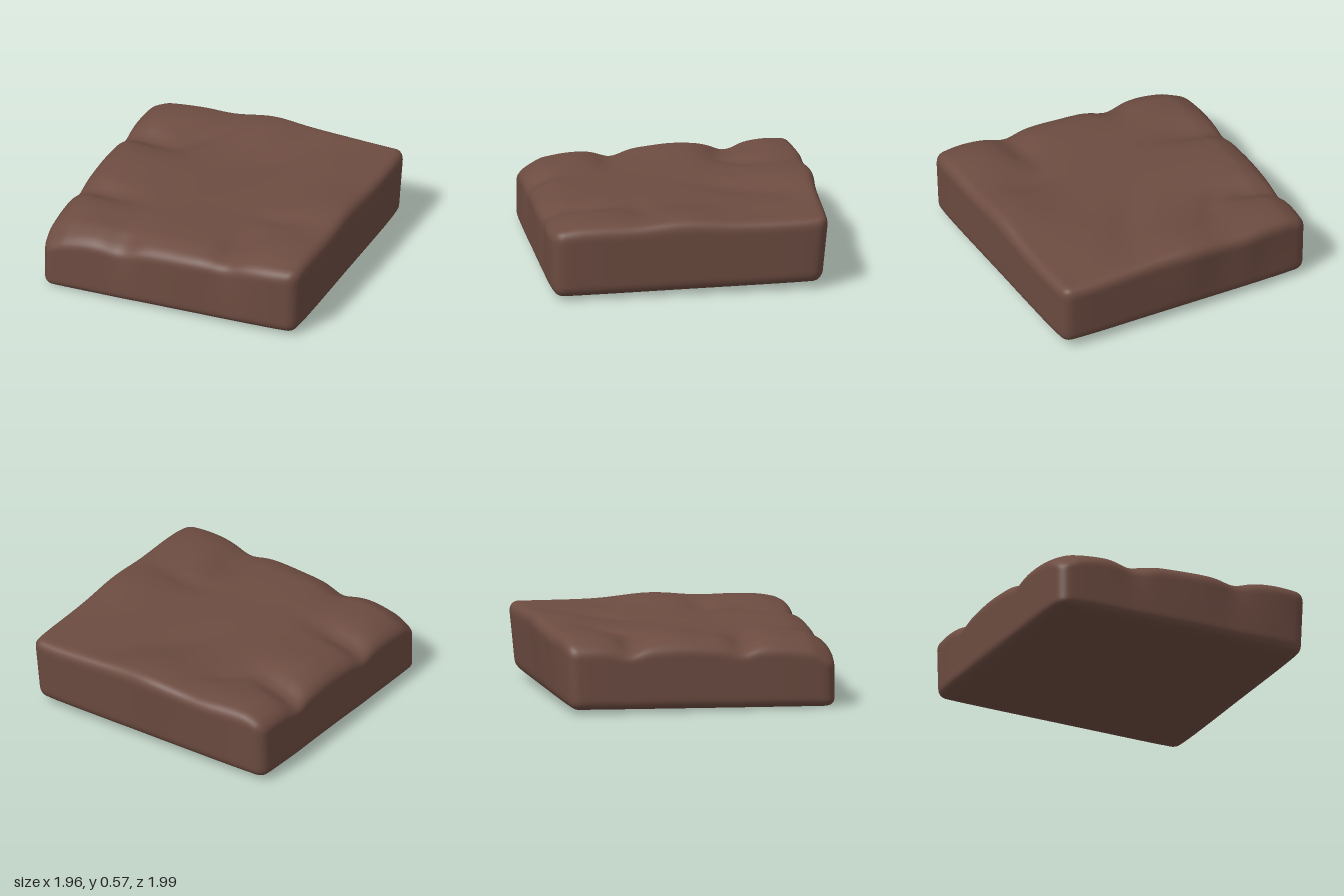
import * as THREE from 'three';
import { mergeVertices } from 'three/addons/utils/BufferGeometryUtils.js';

// Rounded mounds and worn hollows on the top: [x, z, radius x, radius z, height, turn]
const RELIEF = [
  [-0.65, -0.80, 0.28, 0.20, 0.038, 0],
  [-0.80, -0.47, 0.28, 0.10, -0.055, -0.32],
  [-0.42, -0.53, 0.18, 0.08, -0.025, 0.9],
  [-0.75, -0.12, 0.35, 0.24, 0.03, 0],
  [-0.80, 0.33, 0.30, 0.10, -0.05, -0.2],
  [-0.72, 0.62, 0.22, 0.16, 0.012, 0],
  [-0.95, 0.95, 0.20, 0.25, -0.045, 0],
  [-0.38, 0.95, 0.13, 0.20, -0.035, 0],
  [0.02, 0.66, 0.28, 0.22, 0.012, 0],
  [0.41, 0.76, 0.11, 0.26, -0.04, 0],
  [0.73, 0.66, 0.25, 0.28, 0.04, 0],
  [0.56, 0.31, 0.20, 0.09, -0.02, 0],
  [0.82, 0.05, 0.28, 0.30, 0.045, 0],
  [-0.02, -0.82, 0.30, 0.30, 0.055, 0],
  [0.16, -0.42, 0.36, 0.13, -0.025, 1.0],
  [0.38, -0.95, 0.28, 0.16, 0.018, 0],
  [0.55, -0.55, 0.25, 0.35, 0.012, 0],
];

const bump = (v, centre, width) => Math.exp(-(((v - centre) / width) ** 2));

function topHeight(x, z) {
  let h = 0.505 + 0.015 * x - 0.012 * z;
  for (const [cx, cz, rx, rz, amount, turn] of RELIEF) {
    const c = Math.cos(turn), s = Math.sin(turn);
    const u = (x - cx) * c - (z - cz) * s;
    const v = (x - cx) * s + (z - cz) * c;
    h += amount * Math.exp(-((u / rx) ** 2) - (v / rz) ** 2);
  }
  // Worn front and left rims
  h -= (0.05 - 0.035 * x) * THREE.MathUtils.smoothstep(z, 0.78, 1.02);
  h -= 0.045 * THREE.MathUtils.smoothstep(-x, 0.8, 1);
  return h;
}

const bottomHeight = (x, z) => 0.026 + 0.011 * x - 0.015 * z;

function slabGeometry() {
  let geo = new THREE.BoxGeometry(1.96, 0.5, 1.96, 88, 20, 88);
  geo.deleteAttribute('normal');
  geo.deleteAttribute('uv');
  geo = mergeVertices(geo);
  const pos = geo.attributes.position;
  const p = new THREE.Vector3(), core = new THREE.Vector3(), r = 0.075;
  const limit = new THREE.Vector3(0.98 - r, 0.25 - r, 0.98 - r);
  const low = limit.clone().negate();
  for (let i = 0; i < pos.count; i++) {
    // Round the edges and corners
    p.fromBufferAttribute(pos, i);
    core.copy(p).clamp(low, limit);
    p.sub(core).setLength(r).add(core);
    // Stretch between the tilted base and the uneven top
    const t = (p.y + 0.25) / 0.5;
    const b = bottomHeight(p.x, p.z);
    const y = b + t * (topHeight(p.x, p.z) - b);
    // Soften the upright corners
    const soften = 1 - 0.03 * Math.abs(p.x * p.z) ** 8;
    let x = p.x * soften, z = p.z * soften;
    // Lean and ripple the side walls
    if (x > 0) x -= 0.02 * (1 - t) * x;
    if (z < 0) {
      z += 0.047 * (1 - t) * -z;
      const wave = 0.025 * bump(p.x, -0.05, 0.2) + 0.01 * bump(p.x, -0.5, 0.12) - 0.025 * bump(p.x, -0.95, 0.3);
      z += wave * t * z;
    } else {
      const wave = 0.012 * bump(p.x, 0.15, 0.2) + 0.02 * bump(p.x, 0.75, 0.2)
        - 0.025 * t * bump(p.x, -0.38, 0.12) - 0.02 * t * bump(p.x, 0.42, 0.12);
      z += wave * t * z;
    }
    pos.setXYZ(i, x, y, z);
  }
  geo.computeVertexNormals();
  return geo;
}

export function createModel() {
  const group = new THREE.Group();
  group.name = 'earthSlab';
  const brown = new THREE.MeshStandardMaterial({ color: 0x6d4c41 });
  brown.name = 'earth brown';
  const slab = new THREE.Mesh(slabGeometry(), brown);
  slab.name = 'slab';
  group.add(slab);
  return group;
}
